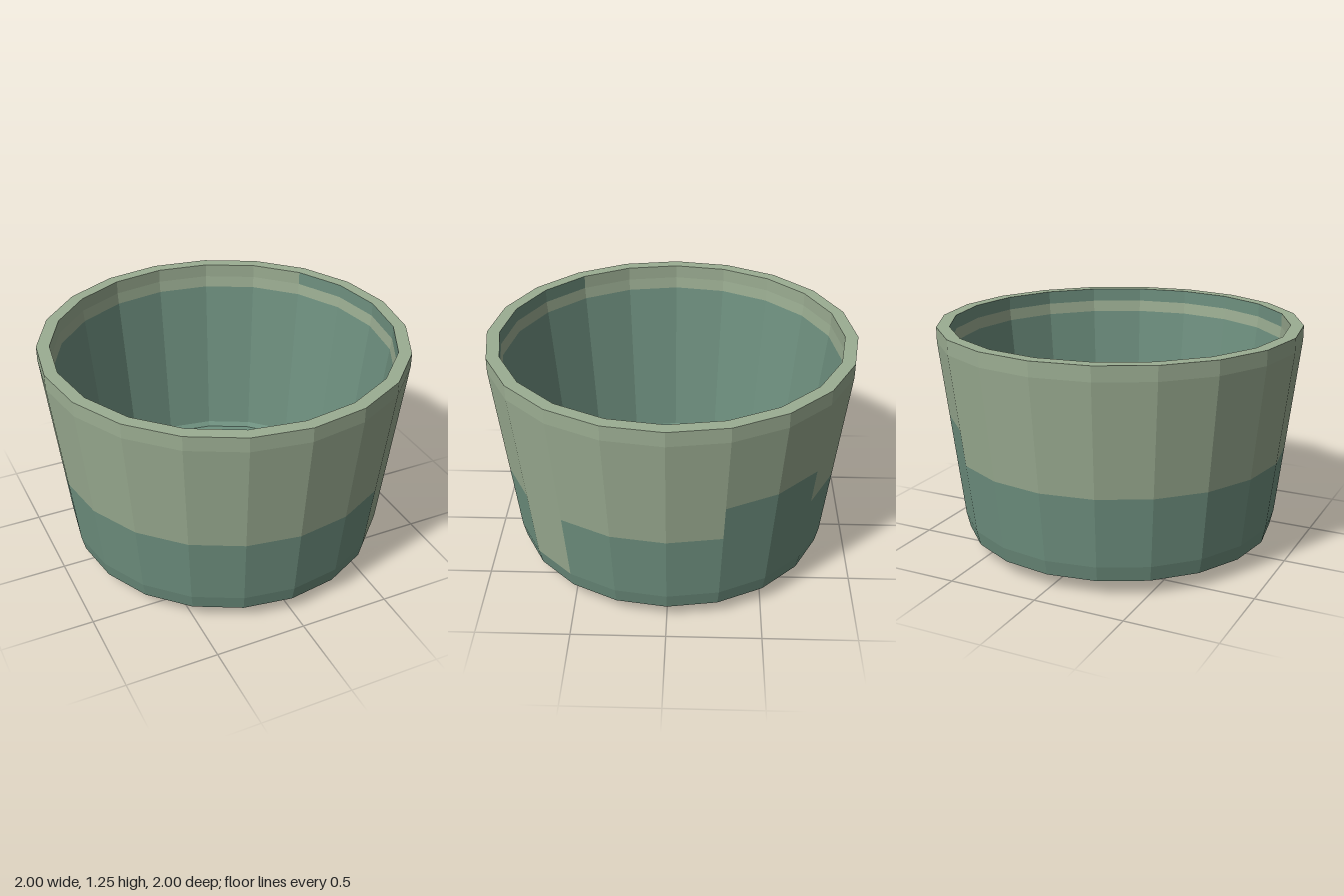
import * as THREE from 'three';

const SIDES = 20;
const STEP = (Math.PI * 2) / SIDES;

export function createModel() {
  const group = new THREE.Group();
  group.name = 'plantPot';

  const sage = new THREE.MeshStandardMaterial({ color: 0x9bad92, flatShading: true });
  sage.name = 'sage glaze';
  const green = new THREE.MeshStandardMaterial({ color: 0x6f9180, flatShading: true });
  green.name = 'sea green glaze';

  // Revolves a profile of [radius, y] over facets from..to
  function band(name, material, profile, from = 0, to = SIDES, sides = SIDES) {
    const step = (Math.PI * 2) / sides;
    const points = profile.map(([r, y]) => new THREE.Vector2(r, y));
    const geometry = new THREE.LatheGeometry(points, to - from, from * step, (to - from) * step);
    const mesh = new THREE.Mesh(geometry.toNonIndexed(), material);
    mesh.geometry.computeVertexNormals();
    mesh.name = name;
    group.add(mesh);
  }

  // Outer wall: the glaze line drops on one facet and rises on two others
  const outerRadius = (y) => 0.885 + (y - 0.17) * 0.115;
  const glazeLines = [
    [0, 2, 0.555],
    [2, 3, 0.172],
    [3, 6, 0.555],
    [6, 8, 0.755],
    [8, SIDES, 0.555],
  ];
  for (const [from, to, line] of glazeLines) {
    const split = [outerRadius(line), line];
    band('lowerOuterWall', green, [[0.865, 0.085], [0.885, 0.17], split], from, to);
    band('upperOuterWall', sage, [split, [1, 1.17], [1, 1.25]], from, to);
  }

  // Rim and the inner lip, half of which is green
  band('rim', sage, [[1, 1.25], [0.93, 1.25]]);
  band('innerLipGreen', green, [[0.93, 1.25], [0.93, 1.175]], -3, 7);
  band('innerLipSage', sage, [[0.93, 1.25], [0.93, 1.175]], 7, 17);
  band('innerStripe', sage, [[0.93, 1.175], [0.923, 1.11]]);

  // Inner wall, floor, drain hole and underside
  band('innerWall', green, [[0.923, 1.11], [0.82, 0.19], [0.8, 0.165]]);
  band('floor', green, [[0.8, 0.165], [0.065, 0.165]]);
  band('drainHole', green, [[0.065, 0.165], [0.065, 0.085]]);
  band('underside', green, [[0.065, 0.085], [0.865, 0.085]]);

  // Foot ring
  band('footRing', green, [[0.54, 0.085], [0.54, 0], [0.63, 0], [0.63, 0.085]], 0, 16, 16);

  return group;
}
